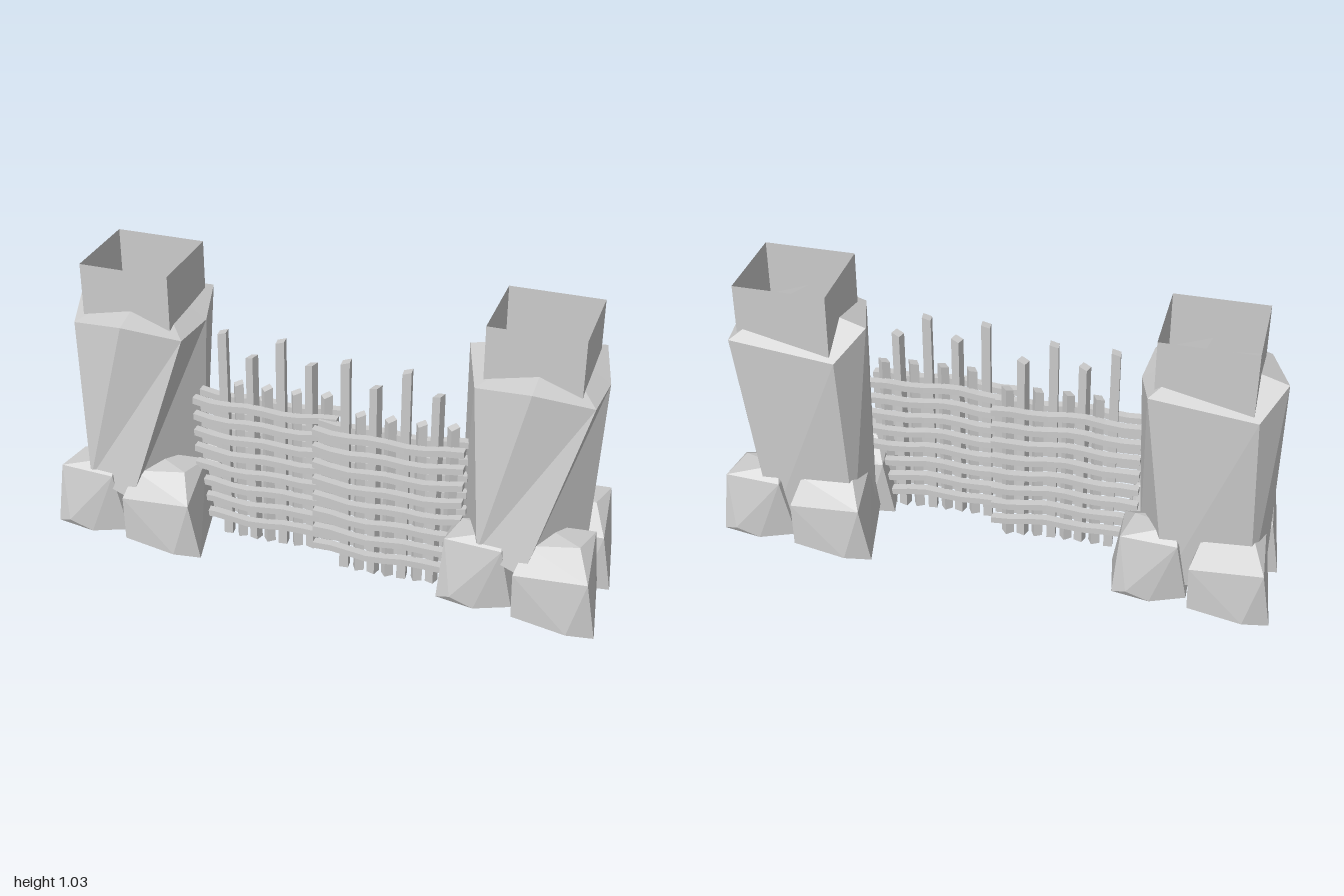
import * as THREE from 'three';
import { ConvexGeometry } from 'three/addons/geometries/ConvexGeometry.js';

const stone = new THREE.MeshStandardMaterial({ color: 0xcccccc, flatShading: true });
const thin = new THREE.MeshStandardMaterial({ color: 0xcccccc, flatShading: true, side: THREE.DoubleSide });

function add(parent, geometry, name, material = stone) {
  const mesh = new THREE.Mesh(geometry, material);
  mesh.name = name;
  parent.add(mesh);
  return mesh;
}

// Twisted stone shaft: two rings of corners, with a peak closing the top
function shaftGeometry() {
  const top = [[-0.255, 0.865, -0.07], [-0.18, 0.83, 0.16], [0.015, 0.86, 0.203], [0.208, 0.81, 0.137],
    [0.222, 0.807, -0.047], [0.175, 0.85, -0.23], [-0.18, 0.79, -0.2]];
  const low = [[-0.25, 0.1, -0.05], [-0.125, 0.26, 0.24], [-0.125, 0.26, 0.24], [0.035, 0.2, 0.25],
    [0.195, 0.1, -0.03], [0.08, 0.1, -0.23], [-0.21, 0.1, -0.18]];
  const peak = [0.025, 0.94, -0.05], base = [0, 0.1, 0];
  const p = [];
  for (let i = 0; i < top.length; i++) {
    const j = (i + 1) % top.length;
    p.push(...top[i], ...low[i], ...top[j], ...top[j], ...low[i], ...low[j]);
    p.push(...top[i], ...top[j], ...peak, ...low[j], ...low[i], ...base);
  }
  const g = new THREE.BufferGeometry();
  g.setAttribute('position', new THREE.Float32BufferAttribute(p, 3));
  g.computeVertexNormals();
  return g;
}

// Rough boulder used at each corner of a pillar foot
function boulderGeometry() {
  return new ConvexGeometry([
    [0.29, 0.008, 0.25], [0.2, 0.025, 0.285], [0.01, 0.045, 0.27], [0, 0.05, 0.06], [0.12, 0.05, 0.01], [0.25, 0.07, 0.01],
    [0.255, 0.225, 0.262], [0.205, 0.3, 0.165], [0.235, 0.29, 0.04], [0.005, 0.21, 0.265], [0.035, 0.3, 0.21],
    [0.06, 0.32, 0.1], [0.04, 0.28, 0.04], [0.2, 0.09, -0.005],
  ].map(v => new THREE.Vector3(...v)));
}

function makePillar() {
  const pillar = new THREE.Group();
  add(pillar, shaftGeometry(), 'pillarShaft');

  // Boulders: a pair on one side, turned half a circle for the other side
  const boulder = boulderGeometry();
  for (const turn of [0, Math.PI]) {
    const pair = new THREE.Group();
    pair.name = 'footBoulders';
    pair.rotation.y = turn;
    for (const z of [0, -0.285]) add(pair, boulder, 'footBoulder').position.z = z;
    pillar.add(pair);
  }

  // Open square collar on top: four thin walls
  const collar = new THREE.Group();
  collar.name = 'topCollar';
  collar.position.set(0, 0.92, -0.032);
  for (let i = 0; i < 4; i++) {
    const across = i % 2 === 0;
    const wall = add(collar, new THREE.PlaneGeometry(across ? 0.322 : 0.308, 0.23), 'collarWall', thin);
    wall.rotation.y = i * Math.PI / 2;
    wall.translateZ(across ? 0.154 : 0.161);
  }
  pillar.add(collar);
  return pillar;
}

// Gentle bend of a fence panel along its length, t from 0 to 1
const bend = t => 0.014 * Math.sin(t * Math.PI) - 0.016 * t * t;

// Long thin rail bent in depth and slightly wavy in height
function railGeometry(phase) {
  const length = 0.525;
  const g = new THREE.BoxGeometry(length, 0.024, 0.03, 8, 1, 1);
  const p = g.attributes.position;
  for (let i = 0; i < p.count; i++) {
    const t = p.getX(i) / length + 0.5;
    p.setY(i, p.getY(i) + 0.006 * Math.sin(t * 12 + phase));
    p.setZ(i, p.getZ(i) + bend(t));
  }
  g.computeVertexNormals();
  return g;
}

// Square post with a slanted top
function postGeometry(height) {
  const g = new THREE.BoxGeometry(0.032, height, 0.032);
  g.translate(0, height / 2, 0);
  const p = g.attributes.position;
  for (let i = 0; i < p.count; i++) {
    if (p.getY(i) > 0.1) p.setXYZ(i, p.getX(i) * 0.95 + 0.003, height + p.getX(i) * 0.3, p.getZ(i));
  }
  g.computeVertexNormals();
  return g;
}

function makeFencePanel() {
  const panel = new THREE.Group();
  // Posts in a repeating pattern of heights
  const heights = [0.82, 0.63, 0.745, 0.63];
  for (let i = 0; i < 8; i++) {
    const x = -0.385 + i * 0.0527;
    const post = add(panel, postGeometry(heights[i % 4]), 'fencePost');
    post.position.set(x, 0.004, 0.043 + bend((x + 0.49) / 0.525));
    post.rotation.y = [0.1, 0.5, -0.3, 0.7][i % 4];
  }
  // Rails on both faces of the posts
  for (let i = 0; i < 8; i++) {
    const y = 0.09 + i * 0.066;
    const geometry = railGeometry(i * 0.4);
    for (const z of [0.01, 0.075]) add(panel, geometry, 'fenceRail').position.set(-0.228, y, z);
  }
  return panel;
}

export function createModel() {
  const model = new THREE.Group();
  model.name = 'gate';
  for (const side of [-1, 1]) {
    const pillar = makePillar();
    pillar.name = side < 0 ? 'rightPillar' : 'leftPillar';
    pillar.position.x = side * 0.707;
    model.add(pillar);
  }
  // Two overlapping panels, one set in front of the other
  const rightPanel = makeFencePanel();
  rightPanel.name = 'rightFencePanel';
  const leftPanel = makeFencePanel();
  leftPanel.name = 'leftFencePanel';
  leftPanel.position.set(0.465, 0, 0.065);
  model.add(rightPanel, leftPanel);
  return model;
}
